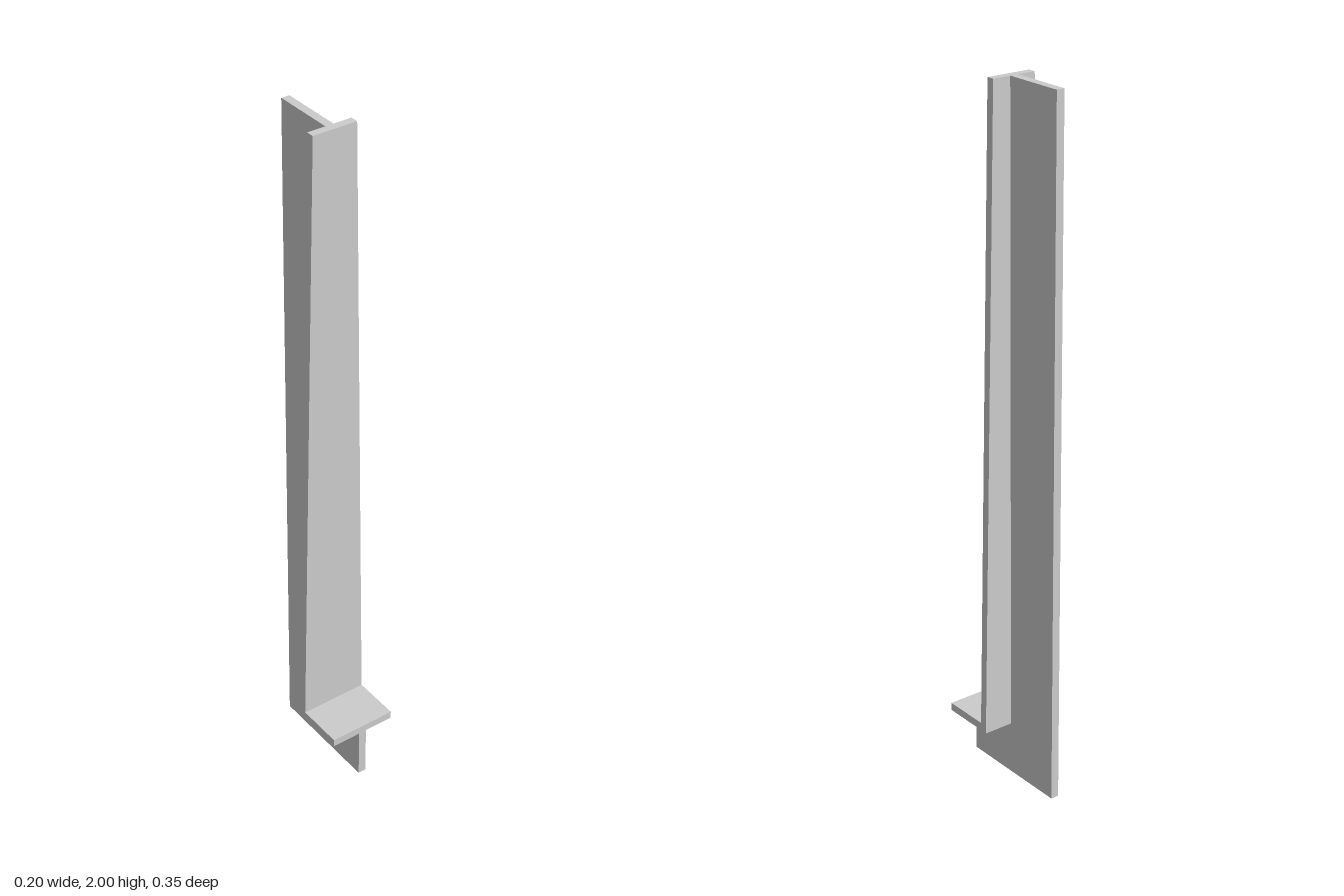
import * as THREE from 'three';

const material = new THREE.MeshStandardMaterial({ color: 0xcccccc, flatShading: true });

const HALF_DEPTH = 0.173;   // front and back limits of the web
const BACK = 0.01;          // rear face of the flange
const FRONT = 0.033;        // front face of the flange
const SHELF_LOW = 0.155;
const SHELF_TOP = 0.178;
const WEB = 0.024;          // web thickness

// Extrudes a flat outline along +z
function plate(name, points, depth) {
  const shape = new THREE.Shape(points.map(([x, y]) => new THREE.Vector2(x, y)));
  const geometry = new THREE.ExtrudeGeometry(shape, { depth, bevelEnabled: false });
  const mesh = new THREE.Mesh(geometry, material);
  mesh.name = name;
  return mesh;
}

export function createModel() {
  const group = new THREE.Group();
  group.name = 'taperedTeeBracket';

  // Upright web with a foot reaching forward under the shelf
  const web = plate('web', [
    [-HALF_DEPTH, 0], [HALF_DEPTH, 0], [HALF_DEPTH, 2],
    [-BACK, 2], [-BACK, SHELF_LOW], [-HALF_DEPTH, SHELF_LOW],
  ], WEB);
  web.rotation.y = Math.PI / 2; // outline x becomes -z
  web.position.x = -WEB / 2;
  group.add(web);

  // Front flange, narrowing towards the top
  const flange = plate('flange', [
    [-0.1, SHELF_TOP], [0.1, SHELF_TOP], [0.065, 2], [-0.065, 2],
  ], FRONT - BACK);
  flange.position.z = BACK;
  group.add(flange);

  // Horizontal shelf at the foot of the flange
  const shelf = new THREE.Mesh(
    new THREE.BoxGeometry(0.2, SHELF_TOP - SHELF_LOW, HALF_DEPTH - BACK), material);
  shelf.name = 'shelf';
  shelf.position.set(0, (SHELF_LOW + SHELF_TOP) / 2, (HALF_DEPTH + BACK) / 2);
  group.add(shelf);

  return group;
}
